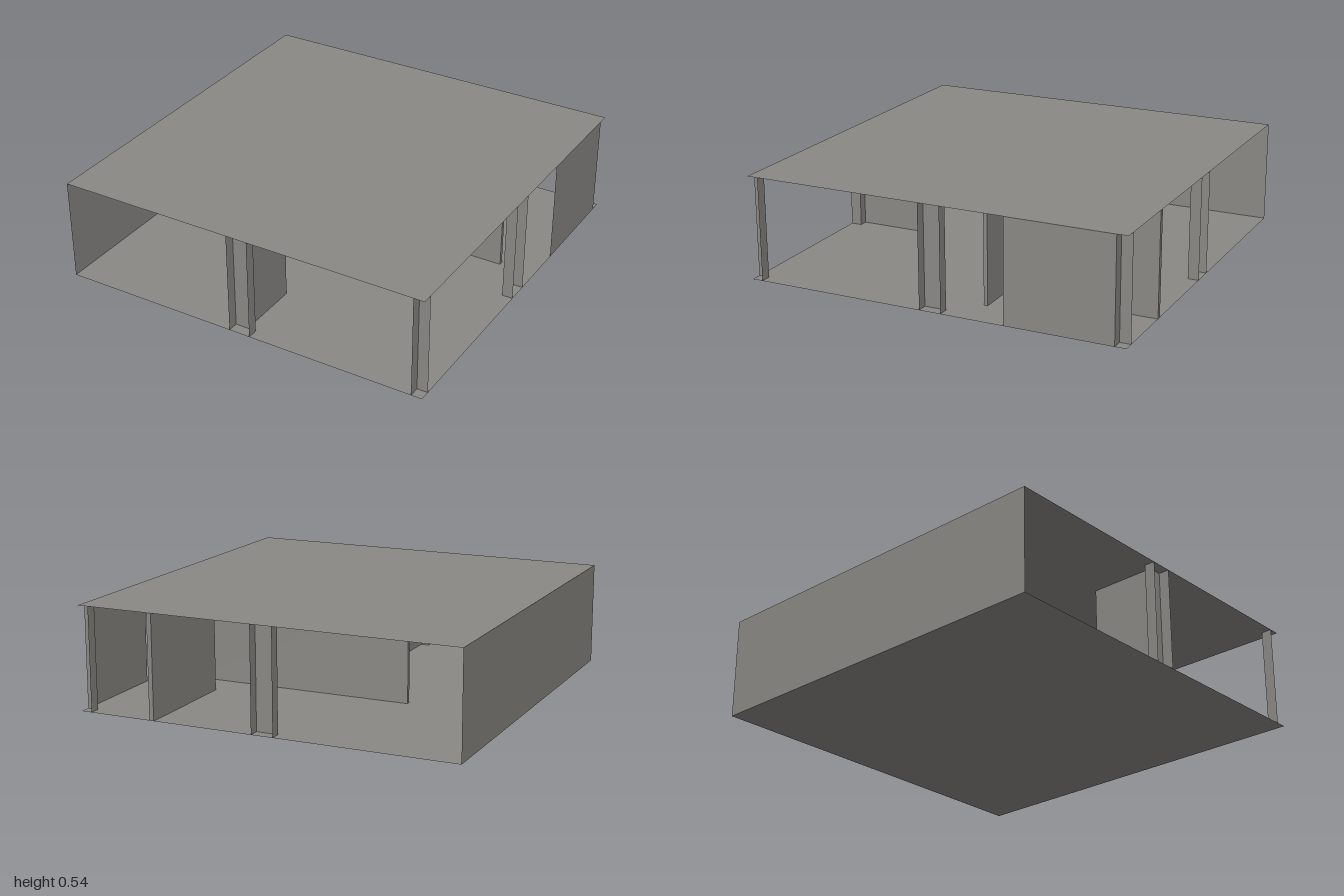
import * as THREE from 'three';

const HEIGHT = 0.535;
const DEPTH = 0.057; // depth of the column recesses
const HALF = 0.057;  // half width of the channel columns

export function createModel() {
  const group = new THREE.Group();
  const concrete = new THREE.MeshStandardMaterial({ color: 0x8b8985, side: THREE.DoubleSide });
  concrete.name = 'concrete';

  const add = (name, geometry, x, y, z) => {
    const mesh = new THREE.Mesh(geometry, concrete);
    mesh.name = name;
    mesh.position.set(x, y, z);
    group.add(mesh);
    return mesh;
  };

  // Thin upright sheet following a plan path of [x, z] points
  const sheet = (name, path) => {
    const pos = [];
    for (let i = 0; i < path.length - 1; i++) {
      const [ax, az] = path[i], [bx, bz] = path[i + 1];
      pos.push(ax, 0, az, bx, 0, bz, bx, HEIGHT, bz);
      pos.push(ax, 0, az, bx, HEIGHT, bz, ax, HEIGHT, az);
    }
    const g = new THREE.BufferGeometry();
    g.setAttribute('position', new THREE.Float32BufferAttribute(pos, 3));
    g.computeVertexNormals();
    return add(name, g, 0, 0, 0);
  };

  // Solid partition between plan limits
  const partition = (name, x0, x1, z0, z1) =>
    add(name, new THREE.BoxGeometry(x1 - x0, HEIGHT, z1 - z0), (x0 + x1) / 2, HEIGHT / 2, (z0 + z1) / 2);

  // Floor and roof slabs
  add('floor', new THREE.PlaneGeometry(2, 2).rotateX(Math.PI / 2), 0, 0, 0);
  add('roof', new THREE.PlaneGeometry(2, 2).rotateX(-Math.PI / 2), 0, HEIGHT, 0);

  // Outer walls
  const inner = 1 - DEPTH;
  sheet('rightOuterWall', [[-1, 1], [-1, -1]]);
  sheet('leftOuterWall', [[1, -0.387], [1, -inner]]);

  // Inner partitions
  partition('crossPartition', -0.41, 0.81, -0.21, -0.19);
  partition('frontPartition', -0.013, 0.011, 0.595, inner);
  partition('backPartition', 0.588, 0.612, -1, -0.387);

  // Channel columns opening outward, and angle columns at the left corners
  for (const s of [1, -1]) {
    const side = s > 0 ? 'front' : 'back';
    sheet(side + 'Column', [[-HALF, s], [-HALF, s * inner], [HALF, s * inner], [HALF, s]]);
    sheet(side + 'CornerColumn', [[inner, s], [inner, s * inner], [1, s * inner]]);
  }
  sheet('leftColumn', [[1, HALF], [inner, HALF], [inner, -HALF], [1, -HALF]]);

  return group;
}
